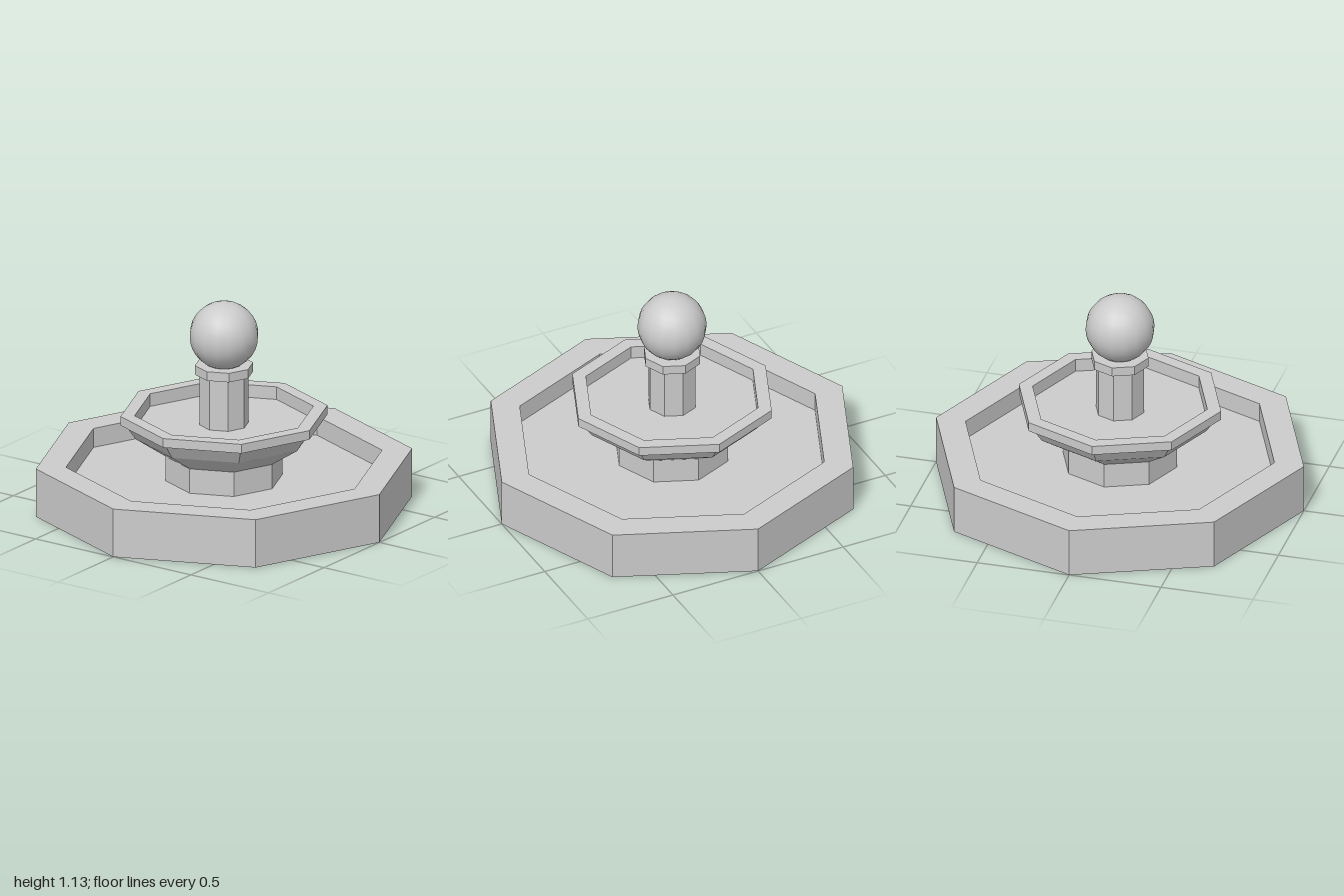
import * as THREE from 'three';

const SIDES = 8;

export function createModel() {
  const group = new THREE.Group();
  const stone = new THREE.MeshStandardMaterial({ color: 0xcccccc, flatShading: true, side: THREE.DoubleSide });
  const smoothStone = new THREE.MeshStandardMaterial({ color: 0xcccccc });

  // Octagonal part turned from a [radius, height] profile
  function turned(name, profile) {
    const points = profile.map(([r, y]) => new THREE.Vector2(r, y));
    const mesh = new THREE.Mesh(new THREE.LatheGeometry(points, SIDES), stone);
    mesh.name = name;
    group.add(mesh);
  }

  // Lower pool: outer wall, rim, inner wall and floor, open underneath
  turned('basin', [[1, 0], [1, 0.265], [0.84, 0.265], [0.84, 0.16], [0.31, 0.16]]);

  // Hollow foot that carries the bowl
  turned('pedestal', [[0.31, 0.16], [0.31, 0.295]]);

  // Upper bowl: flared underside, lip, inner wall and floor
  turned('bowl', [
    [0.31, 0.295], [0.47, 0.4], [0.525, 0.48], [0.55, 0.48],
    [0.55, 0.53], [0.475, 0.53], [0.475, 0.46], [0.13, 0.46],
  ]);

  // Column and its collar
  turned('column', [[0.13, 0.46], [0.13, 0.74]]);
  turned('collar', [[0.13, 0.74], [0.155, 0.74], [0.155, 0.79], [0, 0.79]]);

  // Ball on top
  const ball = new THREE.Mesh(new THREE.SphereGeometry(0.182, 16, 16), smoothStone);
  ball.name = 'ball';
  ball.position.y = 0.95;
  group.add(ball);

  return group;
}
